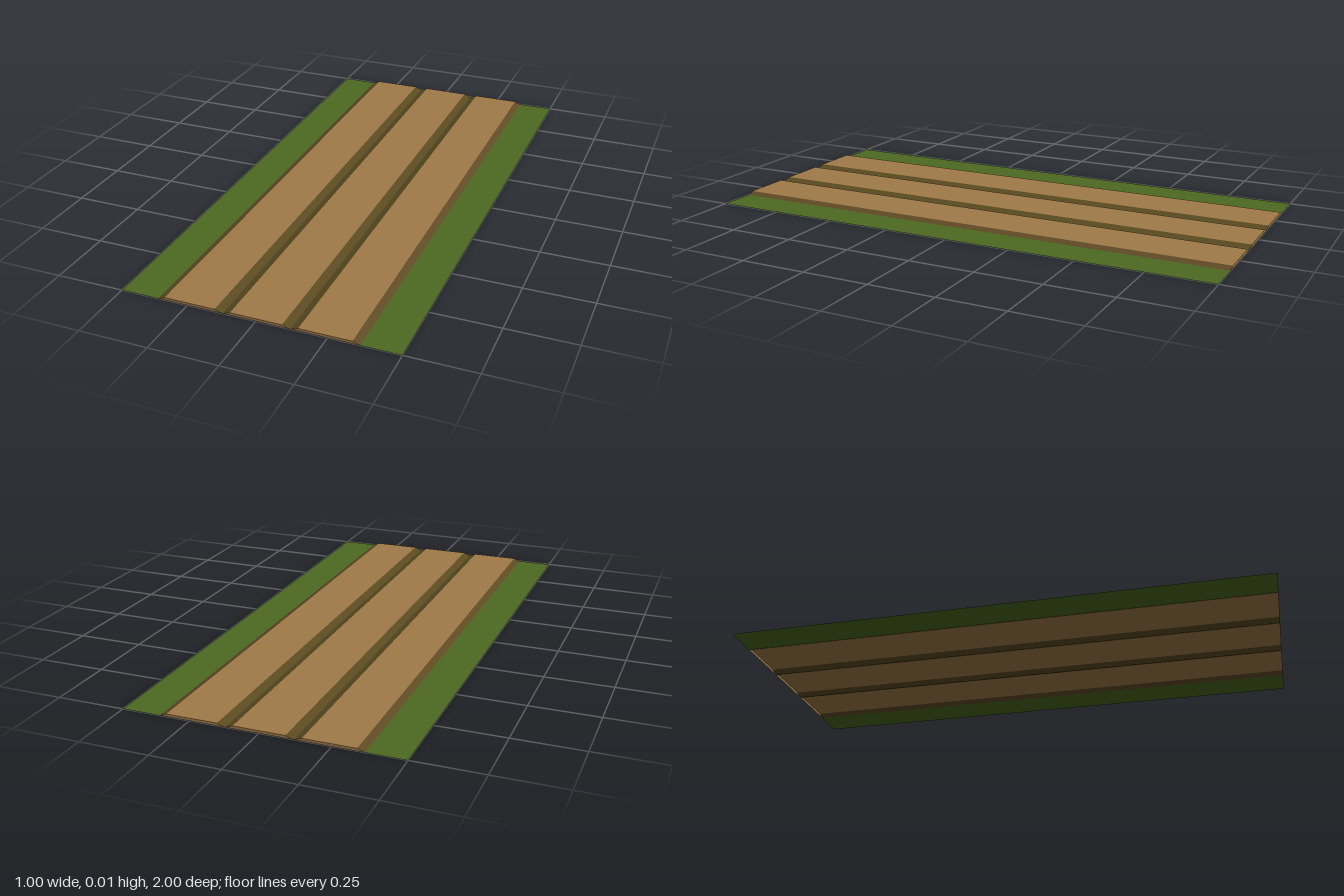
import * as THREE from 'three';

const HALF_LENGTH = 1;
const HEIGHT = 0.01;

function paint(name, color) {
  const m = new THREE.MeshStandardMaterial({ color, side: THREE.DoubleSide });
  m.name = name;
  return m;
}

export function createModel() {
  const group = new THREE.Group();
  group.name = 'plankPath';
  const grass = paint('grass green', 0x4c6a20);
  const plank = paint('plank tan', 0xa07b48);
  const outer = paint('outer slope brown', 0x604a25);
  const inner = paint('groove brown', 0x5a4a20);

  // Full-length strip between two points of the cross-section, facing up
  function strip(name, parent, material, [x0, y0], [x1, y1]) {
    const geo = new THREE.PlaneGeometry(Math.hypot(x1 - x0, y1 - y0), 2 * HALF_LENGTH);
    geo.rotateX(-Math.PI / 2);
    geo.rotateZ(Math.atan2(y1 - y0, x1 - x0));
    geo.translate((x0 + x1) / 2, (y0 + y1) / 2, 0);
    const mesh = new THREE.Mesh(geo, material);
    mesh.name = name;
    parent.add(mesh);
  }

  // Raised board: two sloping edges, a flat top and closed ends
  function board(name, xs, leftMaterial, rightMaterial) {
    const part = new THREE.Group();
    part.name = name;
    const points = xs.map((x, i) => [x, i === 1 || i === 2 ? HEIGHT : 0]);
    strip('rightSlope', part, leftMaterial, points[0], points[1]);
    strip('boardTop', part, plank, points[1], points[2]);
    strip('leftSlope', part, rightMaterial, points[2], points[3]);
    const outline = new THREE.Shape(points.map(([x, y]) => new THREE.Vector2(x, y)));
    for (const side of [1, -1]) {
      const geo = new THREE.ShapeGeometry(outline);
      const end = new THREE.Mesh(geo, plank);
      end.position.z = side * HALF_LENGTH;
      end.name = side > 0 ? 'frontEnd' : 'backEnd';
      part.add(end);
    }
    group.add(part);
  }

  board('rightBoard', [-0.36, -0.335, -0.149, -0.123], outer, inner);
  board('middleBoard', [-0.119, -0.093, 0.093, 0.119], inner, inner);
  board('leftBoard', [0.123, 0.149, 0.335, 0.36], inner, outer);

  // Groove floors and grass verges
  strip('rightGroove', group, inner, [-0.123, 0], [-0.119, 0]);
  strip('leftGroove', group, inner, [0.119, 0], [0.123, 0]);
  strip('rightVerge', group, grass, [-0.5, 0], [-0.36, 0]);
  strip('leftVerge', group, grass, [0.36, 0], [0.5, 0]);

  return group;
}
